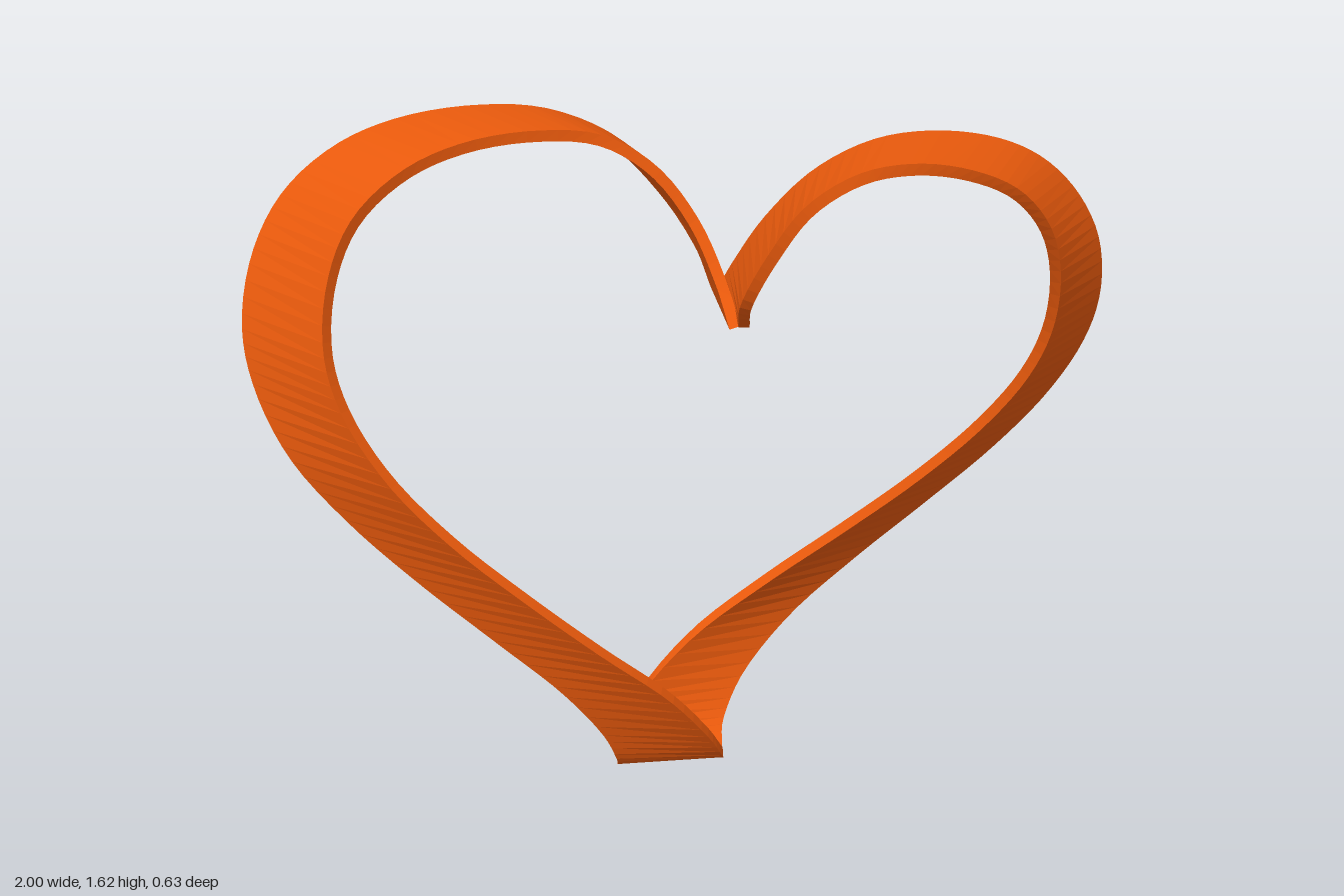
import * as THREE from 'three';

const THICK = 0.025;
const STEPS = 170;

// Level rulings of the band from cleft to lowest fold:
// y, right front x, right back x, front z, back z, left front x, left back x
const ROWS = [
  [1.22, 0.105, 0.108, 0.14, -0.14, 0.085, 0.088],
  [1.30, 0.095, 0.13, 0.22, -0.07, 0.065, 0.06],
  [1.42, 0.14, 0.185, 0.27, 0.0, 0.015, -0.02],
  [1.53, 0.21, 0.28, 0.3, 0.04, -0.07, -0.13],
  [1.595, 0.31, 0.4, 0.315, 0.06, -0.18, -0.28],
  [1.61, 0.42, 0.53, 0.312, 0.062, -0.32, -0.44],
  [1.59, 0.54, 0.67, 0.3, 0.06, -0.48, -0.62],
  [1.54, 0.65, 0.78, 0.28, 0.045, -0.61, -0.76],
  [1.45, 0.735, 0.88, 0.245, 0.015, -0.72, -0.88],
  [1.33, 0.785, 0.955, 0.2, -0.02, -0.78, -0.955],
  [1.18, 0.8, 0.99, 0.145, -0.065, -0.8, -0.99],
  [1.05, 0.77, 0.975, 0.1, -0.1, -0.77, -0.975],
  [0.9, 0.69, 0.91, 0.04, -0.14, -0.685, -0.91],
  [0.75, 0.56, 0.795, -0.01, -0.17, -0.555, -0.79],
  [0.6, 0.4, 0.64, -0.06, -0.19, -0.395, -0.635],
  [0.45, 0.215, 0.465, -0.095, -0.195, -0.23, -0.47],
  [0.3, 0.03, 0.29, -0.105, -0.175, -0.07, -0.32],
  [0.15, -0.11, 0.155, -0.08, -0.125, 0.035, -0.22],
  [0.05, -0.17, 0.1, -0.045, -0.065, 0.08, -0.185],
];

// Two edge curves: down the right half, through the fold, up the left half
function edgeCurves() {
  const a = [], b = [];
  for (const [y, fx, bx, fz, bz] of ROWS) {
    a.push(new THREE.Vector3(fx, y, fz));
    b.push(new THREE.Vector3(bx, y, bz));
  }
  a.push(new THREE.Vector3(-0.18, 0.013, 0));
  b.push(new THREE.Vector3(0.09, 0.013, 0));
  for (const [y, , , fz, bz, fx, bx] of [...ROWS].reverse()) {
    a.push(new THREE.Vector3(bx, y, -fz));
    b.push(new THREE.Vector3(fx, y, -bz));
  }
  return [new THREE.CatmullRomCurve3(a), new THREE.CatmullRomCurve3(b)];
}

// Sweep a thin rectangle spanning the two edges
function bandGeometry() {
  const [a, b] = edgeCurves();
  const pos = [], index = [];
  for (let i = 0; i <= STEPS; i++) {
    const t = i / STEPS;
    const p = a.getPoint(t), q = b.getPoint(t);
    const along = a.getTangent(t).add(b.getTangent(t));
    const n = q.clone().sub(p).cross(along).normalize().multiplyScalar(THICK / 2);
    for (const [v, s] of [[p, 1], [q, 1], [q, -1], [p, -1]]) {
      pos.push(...v.clone().addScaledVector(n, s).toArray());
    }
    if (i === STEPS) break;
    for (let k = 0; k < 4; k++) {
      const c = i * 4 + k, d = i * 4 + (k + 1) % 4;
      index.push(c, d, c + 4, d, d + 4, c + 4);
    }
  }
  // end caps
  const e = STEPS * 4;
  index.push(0, 2, 1, 0, 3, 2, e, e + 1, e + 2, e, e + 2, e + 3);
  const g = new THREE.BufferGeometry();
  g.setAttribute('position', new THREE.Float32BufferAttribute(pos, 3));
  g.setIndex(index);
  const flat = g.toNonIndexed();
  flat.computeVertexNormals();
  return flat;
}

export function createModel() {
  const group = new THREE.Group();
  group.name = 'twistedHeart';
  const material = new THREE.MeshStandardMaterial({
    color: 0xe8590c, flatShading: true, side: THREE.DoubleSide,
  });
  const band = new THREE.Mesh(bandGeometry(), material);
  band.name = 'heartBand';
  group.add(band);
  return group;
}
